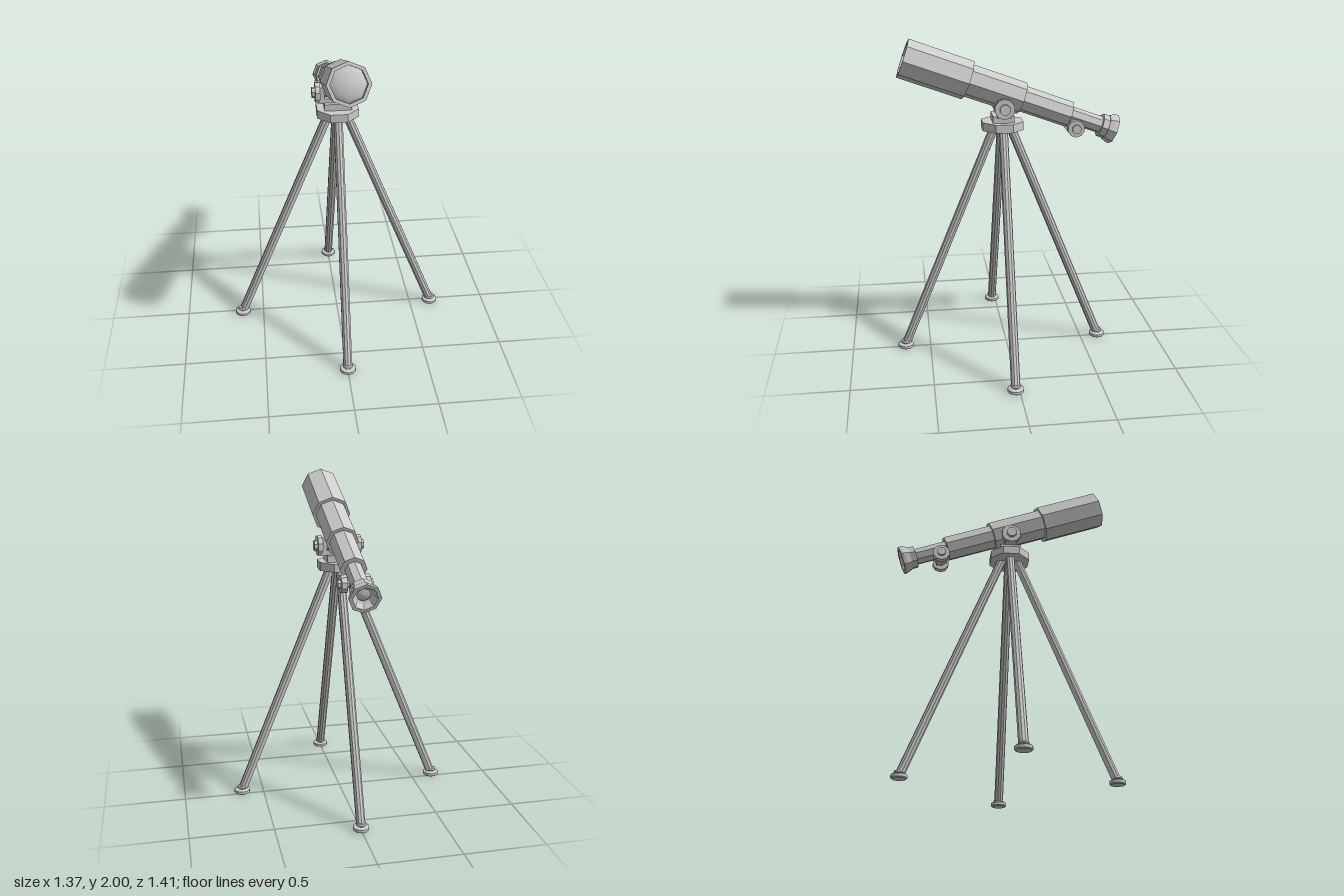
import * as THREE from 'three';

const flat = new THREE.MeshStandardMaterial({ color: 0xcccccc, flatShading: true });
const smooth = new THREE.MeshStandardMaterial({ color: 0xcccccc });

function add(parent, name, geometry, x = 0, y = 0, z = 0, material = flat) {
  const mesh = new THREE.Mesh(geometry, material);
  mesh.name = name;
  mesh.position.set(x, y, z);
  parent.add(mesh);
  return mesh;
}

// Solid of revolution; profile pairs are [radius, height] from bottom to top
function turned(profile, sides = 8) {
  return new THREE.LatheGeometry(profile.map(([r, y]) => new THREE.Vector2(r, y)), sides);
}

// Disc whose axis runs along x
function sideDisc(parent, name, radius, x0, x1, y, z, sides = 8) {
  const g = new THREE.CylinderGeometry(radius, radius, Math.abs(x1 - x0), sides);
  g.rotateY(Math.PI / sides);
  g.rotateZ(Math.PI / 2);
  return add(parent, name, g, (x0 + x1) / 2, y, z);
}

// Straight rod between two points
function rod(parent, name, a, b, radius, sides) {
  const mesh = add(parent, name, new THREE.CylinderGeometry(radius, radius, a.distanceTo(b), sides));
  mesh.position.copy(a).add(b).multiplyScalar(0.5);
  mesh.quaternion.setFromUnitVectors(new THREE.Vector3(0, 1, 0), b.clone().sub(a).normalize());
}

function createTelescope() {
  const scope = new THREE.Group();
  scope.name = 'telescope';
  // Local y runs along the optical axis, with the objective at y = 0
  scope.position.set(0, 1.886, 0.612);
  scope.rotation.x = THREE.MathUtils.degToRad(70);

  // Objective tube with a hollow mouth and a domed lens
  add(scope, 'objectiveTube', turned([
    [0, -0.407], [0.12, -0.407], [0.12, 0], [0.1, 0], [0.1, -0.04],
  ]));
  add(scope, 'objectiveLens', turned([
    [0.1, -0.04], [0.085, -0.029], [0.06, -0.02], [0.03, -0.014], [0, -0.012],
  ]), 0, 0, 0, smooth);

  // Telescoping draw tubes, each narrower than the last
  const tubes = [
    ['mainTube', 0.1, 0.38, 0.752],
    ['middleTube', 0.08, 0.73, 1.065],
    ['rearTube', 0.053, 1.04, 1.29],
  ];
  for (const [name, r, s0, s1] of tubes) {
    add(scope, name, turned([[0, -s1], [r, -s1], [r, -s0], [0, -s0]]));
  }

  // Eyepiece collar and flared, recessed eyecup
  add(scope, 'eyepieceCollar', turned([[0, -1.315], [0.073, -1.315], [0.073, -1.272], [0, -1.272]]));
  add(scope, 'eyecup', turned([
    [0.04, -1.325], [0.055, -1.335], [0.072, -1.365], [0.093, -1.365],
    [0.091, -1.345], [0.078, -1.312], [0.05, -1.31],
  ]));
  add(scope, 'eyeLens', turned([[0, -1.333], [0.025, -1.33], [0.04, -1.324]]), 0, 0, 0, smooth);

  // Block holding the focus axle beneath the rear tube
  add(scope, 'focusBlock', new THREE.BoxGeometry(0.07, 0.07, 0.06), 0, -1.118, 0.05);
  return scope;
}

export function createModel() {
  const model = new THREE.Group();
  model.name = 'telescopeOnTripod';
  model.add(createTelescope());

  const cz = 0.024; // centre of the stand in z
  const pivotY = 1.592;
  const focusY = 1.449;
  const focusZ = -0.419;

  // Stand head: octagonal platform and neck
  const platform = add(model, 'platform', new THREE.CylinderGeometry(0.134, 0.134, 0.051, 8), 0, 1.4715, cz);
  platform.rotation.y = Math.PI / 8;
  add(model, 'neck', new THREE.BoxGeometry(0.16, 0.045, 0.128), 0, 1.515, cz);

  // Yoke carrying the barrel
  add(model, 'yokeBase', new THREE.BoxGeometry(0.23, 0.03, 0.08), 0, 1.55, cz);
  sideDisc(model, 'pivotAxle', 0.03, -0.1, 0.1, pivotY, cz);
  sideDisc(model, 'focusAxle', 0.025, -0.06, 0.06, focusY, focusZ);
  for (const s of [-1, 1]) {
    add(model, 'yokeCheek', new THREE.BoxGeometry(0.035, 0.1, 0.08), s * 0.0975, 1.585, cz);
    sideDisc(model, 'pivotDisc', 0.062, s * 0.105, s * 0.133, pivotY, cz, 10);
    sideDisc(model, 'pivotCap', 0.033, s * 0.13, s * 0.152, pivotY, cz);
    sideDisc(model, 'focusKnob', 0.053, s * 0.05, s * 0.085, focusY, focusZ, 10);
    sideDisc(model, 'focusKnobCap', 0.028, s * 0.08, s * 0.102, focusY, focusZ);
  }

  // Four splayed legs with round feet
  const foot = turned([
    [0, 0], [0.043, 0], [0.05, 0.006], [0.05, 0.022], [0.043, 0.028],
    [0.026, 0.03], [0.032, 0.038], [0.028, 0.048], [0, 0.05],
  ], 12);
  for (let i = 0; i < 4; i++) {
    const dx = Math.round(Math.sin(i * Math.PI / 2));
    const dz = Math.round(Math.cos(i * Math.PI / 2));
    const at = (r, y) => new THREE.Vector3(dx * r, y, cz + dz * r);
    rod(model, 'leg', at(0.627, 0.04), at(0.048, 1.46), 0.028, 10);
    add(model, 'foot', foot, dx * 0.636, 0, cz + dz * 0.636);
  }
  return model;
}
